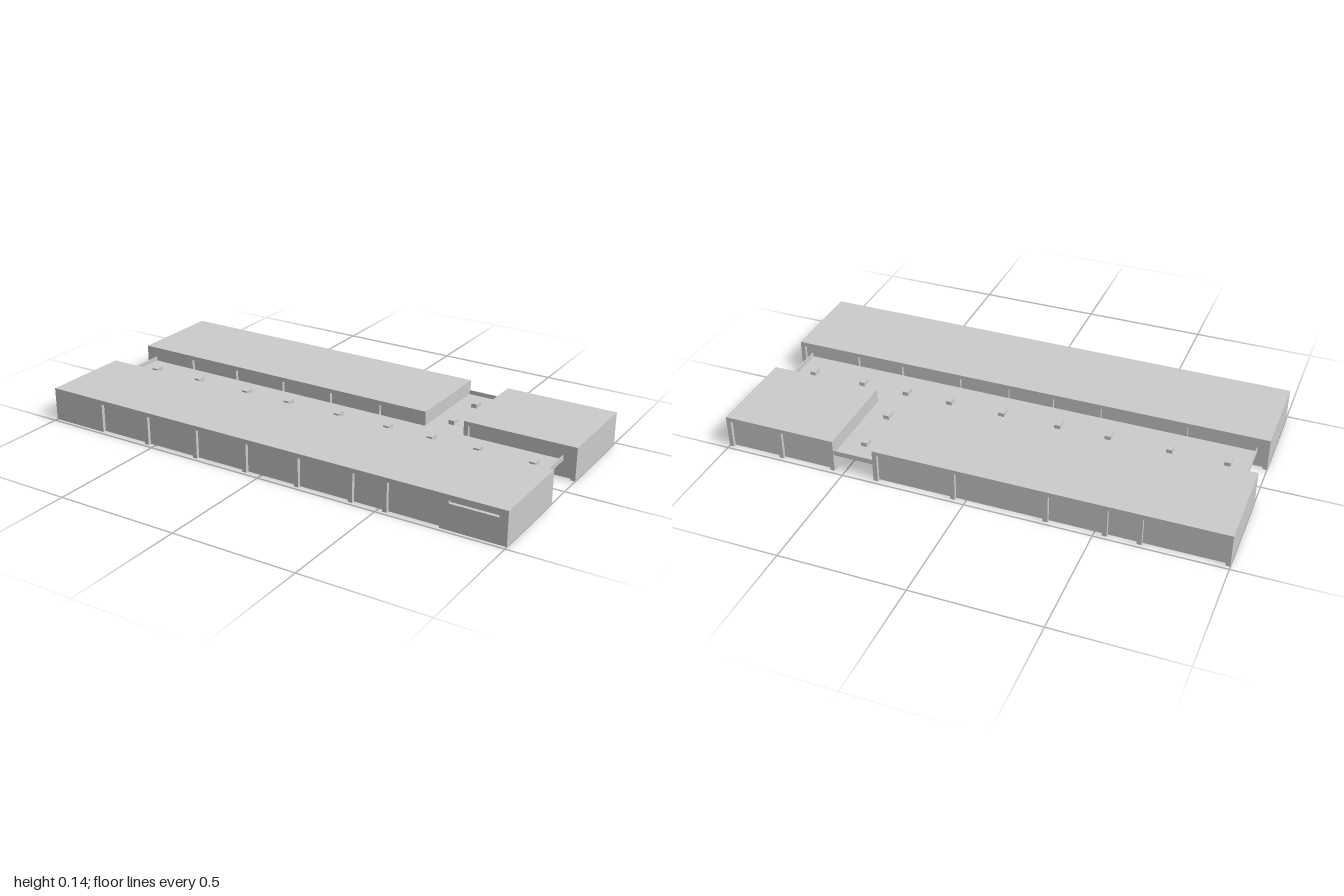
import * as THREE from 'three';

const H = 0.135, HEAD = 0.118, SKIN = 0.006, RECESS = 0.014, PIER = 0.018;
const grey = new THREE.MeshStandardMaterial({ color: 0xcccccc, side: THREE.DoubleSide, flatShading: true });

// Box given by its limits on each axis
function block(parent, name, x0, x1, y0, y1, z0, z1) {
  const mesh = new THREE.Mesh(new THREE.BoxGeometry(x1 - x0, y1 - y0, z1 - z0), grey);
  mesh.position.set((x0 + x1) / 2, (y0 + y1) / 2, (z0 + z1) / 2);
  mesh.name = name;
  parent.add(mesh);
}

// Long wall facing side (+1 front, -1 back): header, piers and recessed bay panels.
// Bays listed in flush are level with the piers; slot is a bay with a strip window.
function facade(parent, name, x0, x1, z, side, piers, flush = [], slot = -1) {
  const g = new THREE.Group();
  g.name = name;
  parent.add(g);
  const slab = (n, a, b, y0, y1, near, far) => {
    const p = z - side * near, q = z - side * far;
    block(g, n, a, b, y0, y1, Math.min(p, q), Math.max(p, q));
  };
  slab('header', x0, x1, HEAD, H, 0, RECESS);
  slab('recessedWall', x0, x1, 0, H, RECESS, RECESS + SKIN);
  const xs = [x0 + PIER / 2, ...piers, x1 - PIER / 2];
  xs.forEach((x, i) => {
    slab('pier', x - PIER / 2, x + PIER / 2, 0, HEAD, 0, RECESS);
    if (i === xs.length - 1) return;
    const a = x + PIER / 2, b = xs[i + 1] - PIER / 2;
    if (flush.includes(i)) slab('flushPanel', a, b, 0, HEAD, 0, RECESS);
    if (i === slot) {
      // panel surrounding a narrow strip window
      slab('windowPanel', a, b, 0, 0.102, 0, RECESS);
      slab('windowHead', a, b, 0.115, HEAD, 0, RECESS);
      slab('windowJamb', a, a + 0.015, 0.102, 0.115, 0, RECESS);
      slab('windowJamb', b - 0.015, b, 0.102, 0.115, 0, RECESS);
    }
  });
}

// Hollow building, open underneath
function building(name, x0, x1, z0, z1) {
  const g = new THREE.Group();
  g.name = name;
  block(g, 'roof', x0, x1, H - SKIN, H, z0, z1);
  block(g, 'endWall', x0, x0 + SKIN, 0, H, z0, z1);
  block(g, 'endWall', x1 - SKIN, x1, 0, H, z0, z1);
  return g;
}

export function createModel() {
  const model = new THREE.Group();
  model.name = 'buildingComplex';
  const grid = [-0.765, -0.535, -0.3, -0.07, 0.16];

  // Long front hall
  const front = building('frontHall', -1, 1, 0.115, 0.485);
  facade(front, 'streetFacade', -1, 1, 0.485, 1, [...grid, 0.39, 0.53, 0.755], [0], 8);
  facade(front, 'courtFacade', -1, 1, 0.115, -1, [-0.67, -0.32, -0.12, 0.07, 0.28, 0.54, 0.74]);

  // Back hall and the separate small block beside the passage
  const back = building('backHall', -1, 0.375, -0.485, -0.097);
  facade(back, 'courtFacade', -1, 0.375, -0.097, 1, grid, [0]);
  facade(back, 'rearFacade', -1, 0.375, -0.485, -1, [-0.67, -0.54, -0.315, 0.05]);

  const small = building('smallBlock', 0.54, 1, -0.485, -0.097);
  facade(small, 'courtFacade', 0.54, 1, -0.097, 1, []);
  facade(small, 'rearFacade', 0.54, 1, -0.485, -1, [0.77]);

  // Walkway roof: thin deck with upstands at its three open ends
  const canopy = new THREE.Group();
  canopy.name = 'walkwayCanopy';
  const y0 = 0.072, y1 = 0.093, t = 0.004;
  block(canopy, 'mainDeck', -0.955, 0.948, y0, y0 + t, -0.097, 0.115);
  block(canopy, 'passageDeck', 0.375, 0.54, y0, y0 + t, -0.482, -0.097);
  block(canopy, 'endUpstand', -0.955, -0.955 + t, y0, y1, -0.097, 0.115);
  block(canopy, 'endUpstand', 0.948 - t, 0.948, y0, y1, -0.097, 0.115);
  block(canopy, 'passageUpstand', 0.375, 0.54, y0, y1, -0.482, -0.482 + t);

  // Small roof lights along both decks
  const lights = [-0.87, -0.645, -0.4, -0.195, 0.04, 0.265, 0.455, 0.65, 0.875].map((x) => [x, 0]);
  lights.push([0.455, -0.18], [0.455, -0.375]);
  for (const [x, z] of lights)
    block(canopy, 'roofLight', x - 0.012, x + 0.012, y0 + t, y1, z - 0.019, z + 0.019);

  model.add(front, back, small, canopy);
  return model;
}
